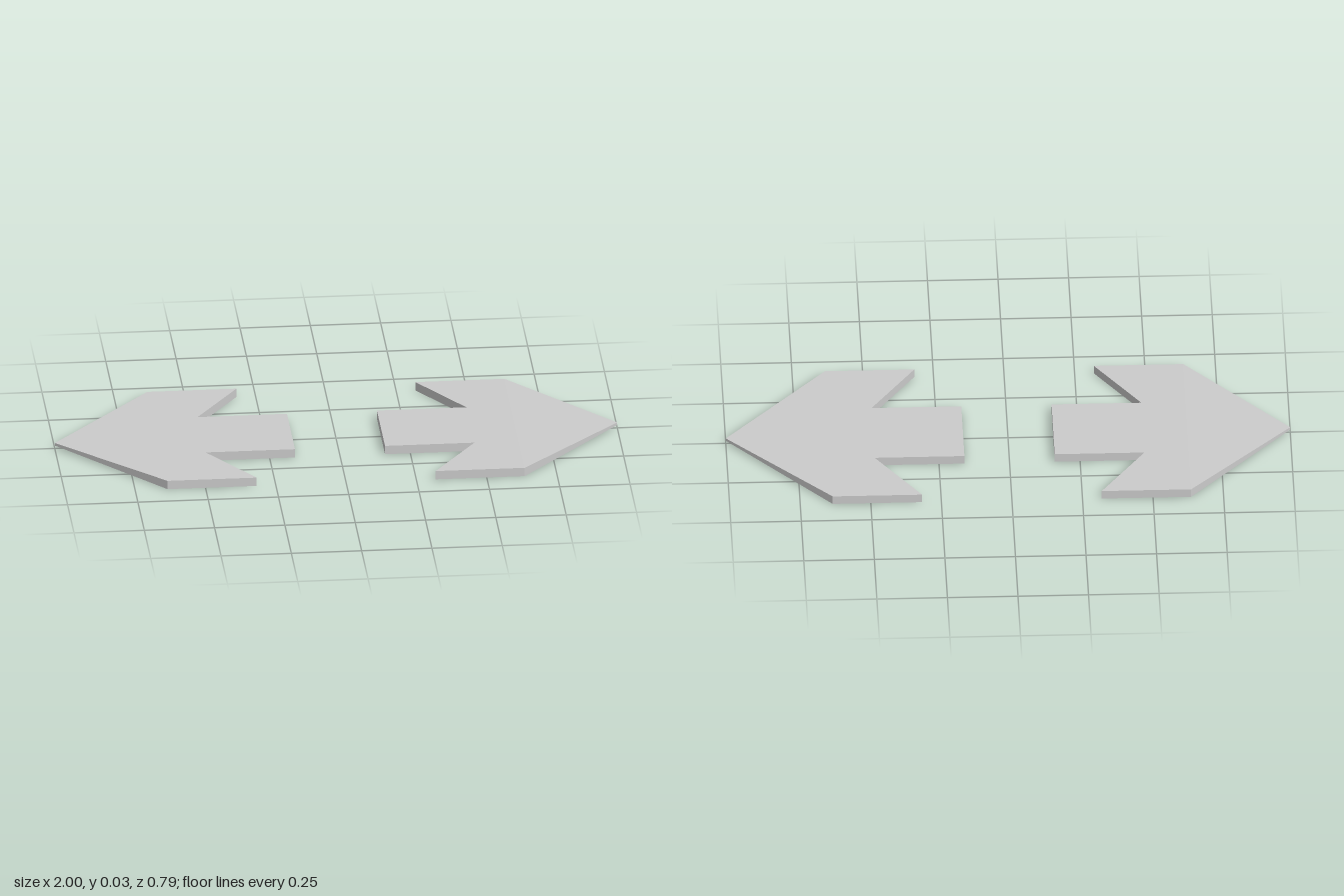
import * as THREE from 'three';

const THICKNESS = 0.032;
const TIP_THICKNESS = 0.01;

// Flat arrow plate pointing along +x, thinning towards its tip
function arrowGeometry() {
  const outline = [
    [0.635, 0.395], [0.318, 0.395], [0.478, 0.157], [0.16, 0.157],
    [0.16, -0.157], [0.478, -0.157], [0.318, -0.395], [0.635, -0.395], [1, 0],
  ].map(([x, y]) => new THREE.Vector2(x, y));
  const geometry = new THREE.ExtrudeGeometry(new THREE.Shape(outline), {
    depth: THICKNESS, bevelEnabled: false,
  });
  geometry.rotateX(-Math.PI / 2);

  // Pinch the tip towards mid-height
  const pos = geometry.attributes.position;
  const mid = THICKNESS / 2;
  for (let i = 0; i < pos.count; i++) {
    if (pos.getX(i) > 0.99) {
      pos.setY(i, mid + Math.sign(pos.getY(i) - mid) * TIP_THICKNESS / 2);
    }
  }
  geometry.computeVertexNormals();
  return geometry;
}

export function createModel() {
  const group = new THREE.Group();
  group.name = 'arrowPair';
  const material = new THREE.MeshStandardMaterial({ color: 0xcccccc, flatShading: true });
  const geometry = arrowGeometry();

  // Two arrows pointing away from each other
  for (const [name, turn] of [['leftArrow', 0], ['rightArrow', Math.PI]]) {
    const arrow = new THREE.Mesh(geometry, material);
    arrow.name = name;
    arrow.rotation.y = turn;
    group.add(arrow);
  }
  return group;
}
